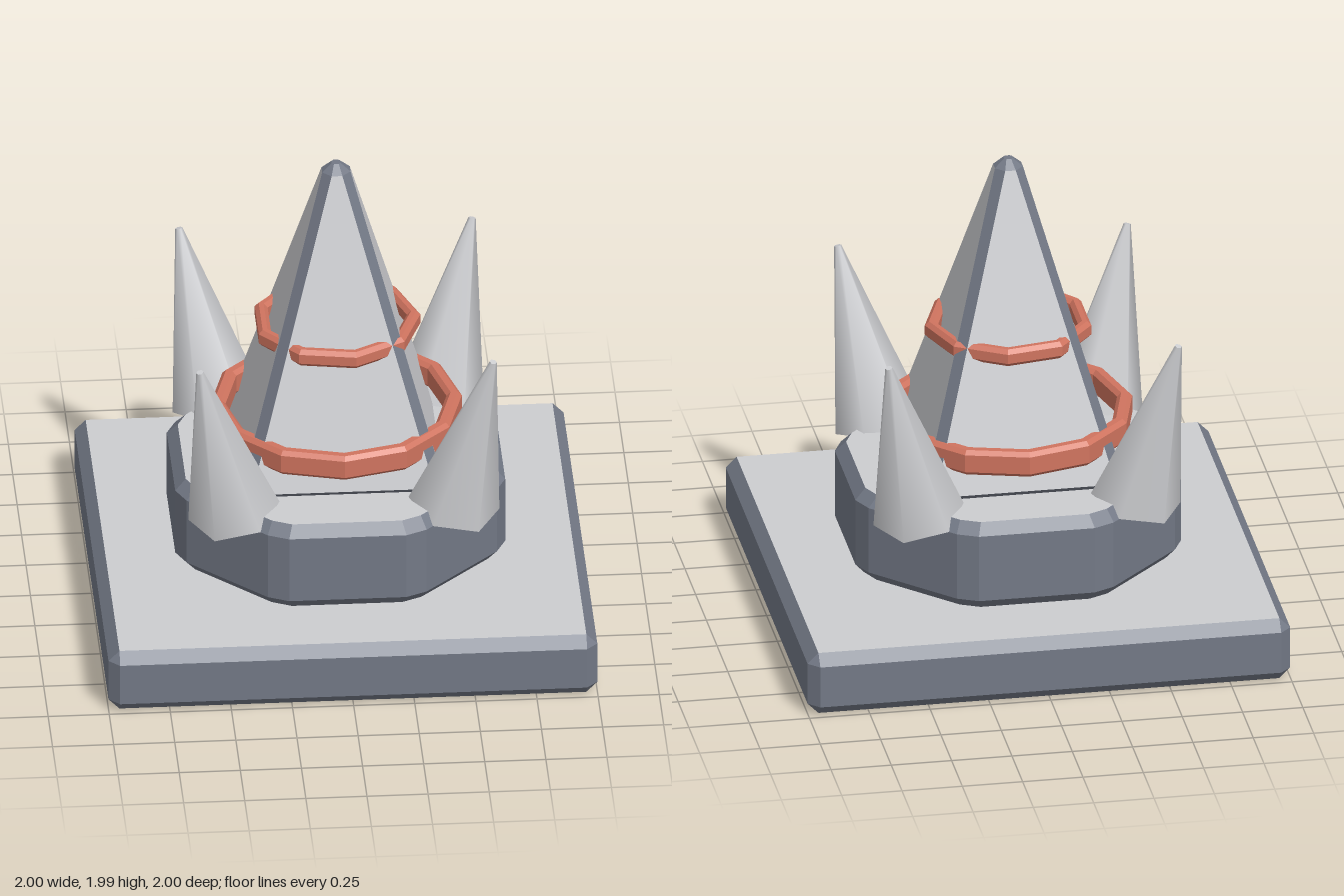
import * as THREE from 'three';

const lightStone = new THREE.MeshStandardMaterial({ color: 0xcccdd0 });
lightStone.name = 'light stone';
const slate = new THREE.MeshStandardMaterial({ color: 0x737986 });
slate.name = 'slate trim';
const copper = new THREE.MeshStandardMaterial({ color: 0xd0745f });
copper.name = 'copper red';

// Repeats the points of one quadrant around the vertical axis
function fourfold(quadrant) {
  const ring = [];
  for (let q = 0; q < 4; q++) {
    for (const [x, z] of quadrant) {
      ring.push([[x, z], [-z, x], [-x, -z], [z, -x]][q]);
    }
  }
  return ring;
}

// Square outline of half width h with corners cut by c
const square = (h, c) => fourfold([[h, h - c], [h - c, h]]);

// Faceted solid through stacked outlines; slot 0 is light stone, slot 1 slate
function loft(name, levels, sideSlot, capSlot) {
  const slots = [[], []];
  const rings = levels.map(([y, ring]) => ring.map(([x, z]) => [x, y, z]));
  const n = rings[0].length;
  for (let l = 0; l < rings.length - 1; l++) {
    for (let i = 0; i < n; i++) {
      const j = (i + 1) % n;
      const [a, b, c, d] = [rings[l][i], rings[l][j], rings[l + 1][j], rings[l + 1][i]];
      slots[sideSlot(l, i)].push(...a, ...d, ...c, ...a, ...c, ...b);
    }
  }
  const low = rings[0], high = rings[rings.length - 1];
  for (let i = 0; i < n; i++) {
    const j = (i + 1) % n;
    slots[capSlot].push(0, low[0][1], 0, ...low[i], ...low[j]);
    slots[capSlot].push(0, high[0][1], 0, ...high[j], ...high[i]);
  }
  const geometry = new THREE.BufferGeometry();
  geometry.setAttribute('position', new THREE.Float32BufferAttribute(slots.flat(), 3));
  geometry.addGroup(0, slots[0].length / 3, 0);
  geometry.addGroup(slots[0].length / 3, slots[1].length / 3, 1);
  geometry.computeVertexNormals();
  const mesh = new THREE.Mesh(geometry, [lightStone, slate]);
  mesh.name = name;
  return mesh;
}

// Faceted hoop with a bevelled rectangular section
function hoop(name, inner, outer, bottom, top, bevel, sides) {
  const profile = [
    [inner, bottom + bevel], [inner + bevel, bottom], [outer - bevel, bottom],
    [outer, bottom + bevel], [outer, top - bevel], [outer - bevel, top],
    [inner + bevel, top], [inner, top - bevel], [inner, bottom + bevel],
  ].map(([r, y]) => new THREE.Vector2(r, y));
  const geometry = new THREE.LatheGeometry(profile, sides).toNonIndexed();
  geometry.rotateY(Math.PI / 2);
  geometry.computeVertexNormals();
  const mesh = new THREE.Mesh(geometry, copper);
  mesh.name = name;
  return mesh;
}

// Six-sided cone leaning outward at one corner
function spike(sx, sz) {
  const foot = new THREE.Vector3(0.45 * sx, 0.62, 0.447 * sz);
  const tip = new THREE.Vector3(0.6 * sx, 1.36, 0.597 * sz);
  const axis = tip.clone().sub(foot);
  const geometry = new THREE.CylinderGeometry(0.015, 0.19, axis.length(), 6);
  geometry.rotateY(Math.PI / 2);
  const mesh = new THREE.Mesh(geometry, lightStone);
  mesh.quaternion.setFromUnitVectors(new THREE.Vector3(0, 1, 0), axis.normalize());
  mesh.position.copy(foot).add(tip).multiplyScalar(0.5);
  mesh.name = 'cornerSpike';
  return mesh;
}

export function createModel() {
  const model = new THREE.Group();
  model.name = 'spikedPyramid';

  // Square slab with bevelled edges
  model.add(loft('baseSlab', [
    [0, square(0.955, 0)],
    [0.045, square(1, 0.045)],
    [0.225, square(1, 0.045)],
    [0.27, square(0.955, 0)],
  ], () => 1, 0));

  // Eight-sided plinth with softened corners
  const plan = (s) => fourfold(
    [[0.675, 0.24], [0.635, 0.325], [0.325, 0.635], [0.24, 0.675]].map(([x, z]) => [x * s, z * s]));
  model.add(loft('plinth', [
    [0.265, plan(0.935)],
    [0.315, plan(1)],
    [0.605, plan(1)],
    [0.65, plan(0.935)],
  ], () => 1, 0));

  // Pyramid: light faces between slate bevels
  model.add(loft('pyramid', [
    [0.635, square(0.385, 0.02)],
    [0.67, square(0.415, 0.04)],
    [1.95, square(0.058, 0.036)],
    [1.985, square(0.018, 0.008)],
  ], (level, i) => (level === 1 && i % 2 === 1 ? 0 : 1), 1));

  // Two hoops around the pyramid
  model.add(hoop('lowerHoop', 0.452, 0.515, 0.775, 0.885, 0.017, 12));
  model.add(hoop('upperHoop', 0.29, 0.345, 1.197, 1.272, 0.017, 9));

  // Corner spikes
  for (const sx of [-1, 1]) {
    for (const sz of [-1, 1]) model.add(spike(sx, sz));
  }
  return model;
}
